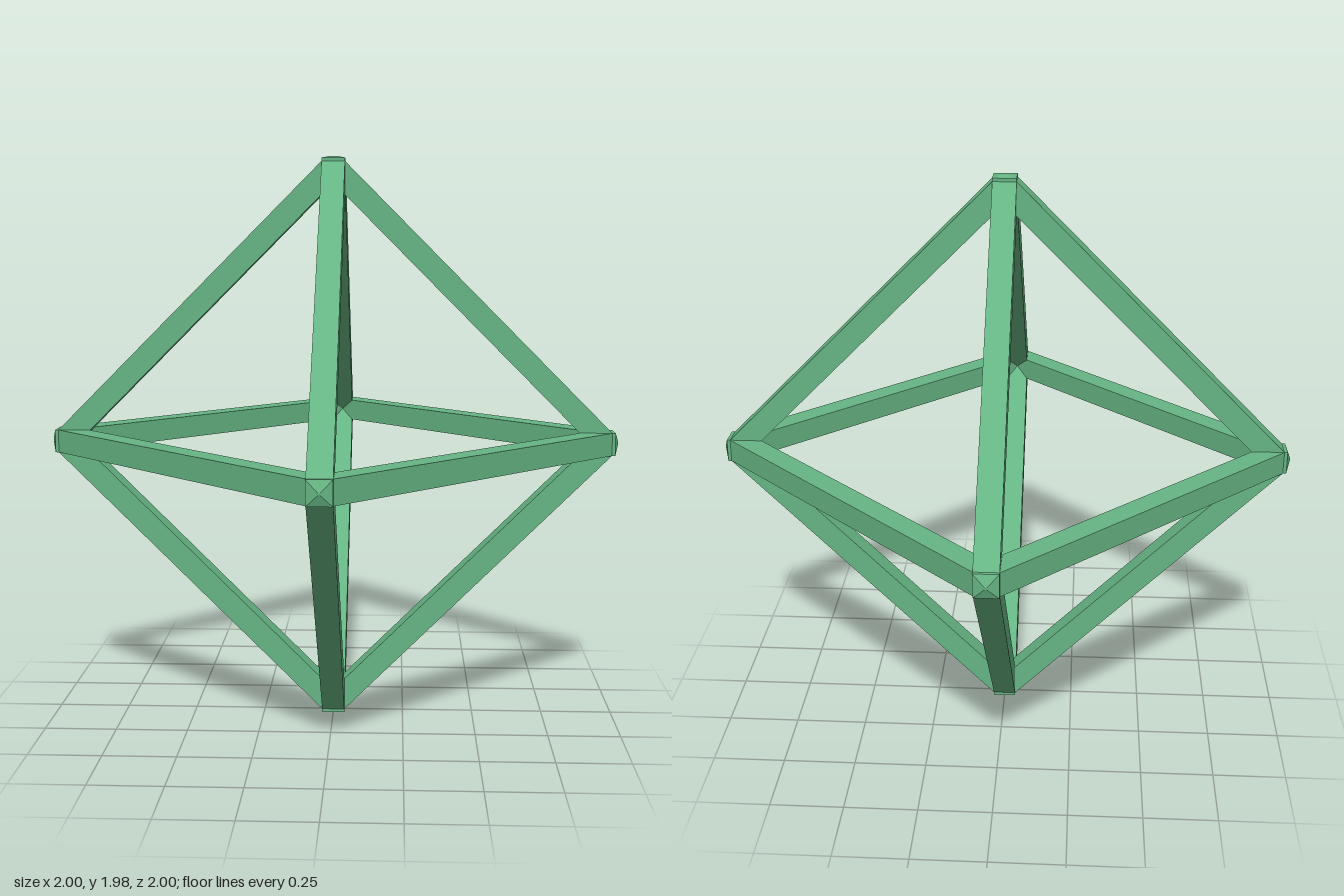
import * as THREE from 'three';

export function createModel() {
  const group = new THREE.Group();
  const material = new THREE.MeshStandardMaterial({ color: 0x66b584, flatShading: true });
  const R = 0.957, W = 0.08, REACH = 0.985;
  const frame = new THREE.Group();
  frame.name = 'octahedronFrame';
  frame.position.y = REACH;
  group.add(frame);

  const axes = [[1, 0, 0], [-1, 0, 0], [0, 1, 0], [0, -1, 0], [0, 0, 1], [0, 0, -1]]
    .map(a => new THREE.Vector3(...a));

  // Twelve square struts, one per pair of neighbouring corners
  const strutGeometry = new THREE.BoxGeometry(W, W, R * Math.SQRT2);
  axes.forEach((a, i) => axes.slice(i + 1).forEach(b => {
    if (a.dot(b) !== 0) return;
    const along = b.clone().sub(a).normalize();
    const out = a.clone().add(b).normalize();
    const side = new THREE.Vector3().crossVectors(out, along);
    const strut = new THREE.Mesh(strutGeometry, material);
    strut.name = 'strut';
    strut.quaternion.setFromRotationMatrix(new THREE.Matrix4().makeBasis(side, out, along));
    strut.position.copy(a).add(b).multiplyScalar(R / 2);
    frame.add(strut);
  }));

  // Corner blocks, closed by a shallow pyramid except on the flat foot
  const up = new THREE.Vector3(0, 1, 0);
  axes.forEach(a => {
    const corner = new THREE.Group();
    corner.name = a.y < 0 ? 'foot' : 'corner';
    const block = new THREE.Mesh(new THREE.BoxGeometry(W, W, W), material);
    block.name = 'cornerBlock';
    block.position.y = REACH - W / 2;
    corner.add(block);
    if (a.y >= 0) {
      const h = a.y > 0 ? 0.006 : 0.015;
      const cap = new THREE.Mesh(
        new THREE.CylinderGeometry(a.y > 0 ? 0.02 : 0.004, W * Math.SQRT1_2, h, 4).rotateY(Math.PI / 4), material);
      cap.name = 'cornerCap';
      cap.position.y = REACH + h / 2;
      corner.add(cap);
    }
    corner.quaternion.setFromUnitVectors(up, a);
    frame.add(corner);
  });
  return group;
}
